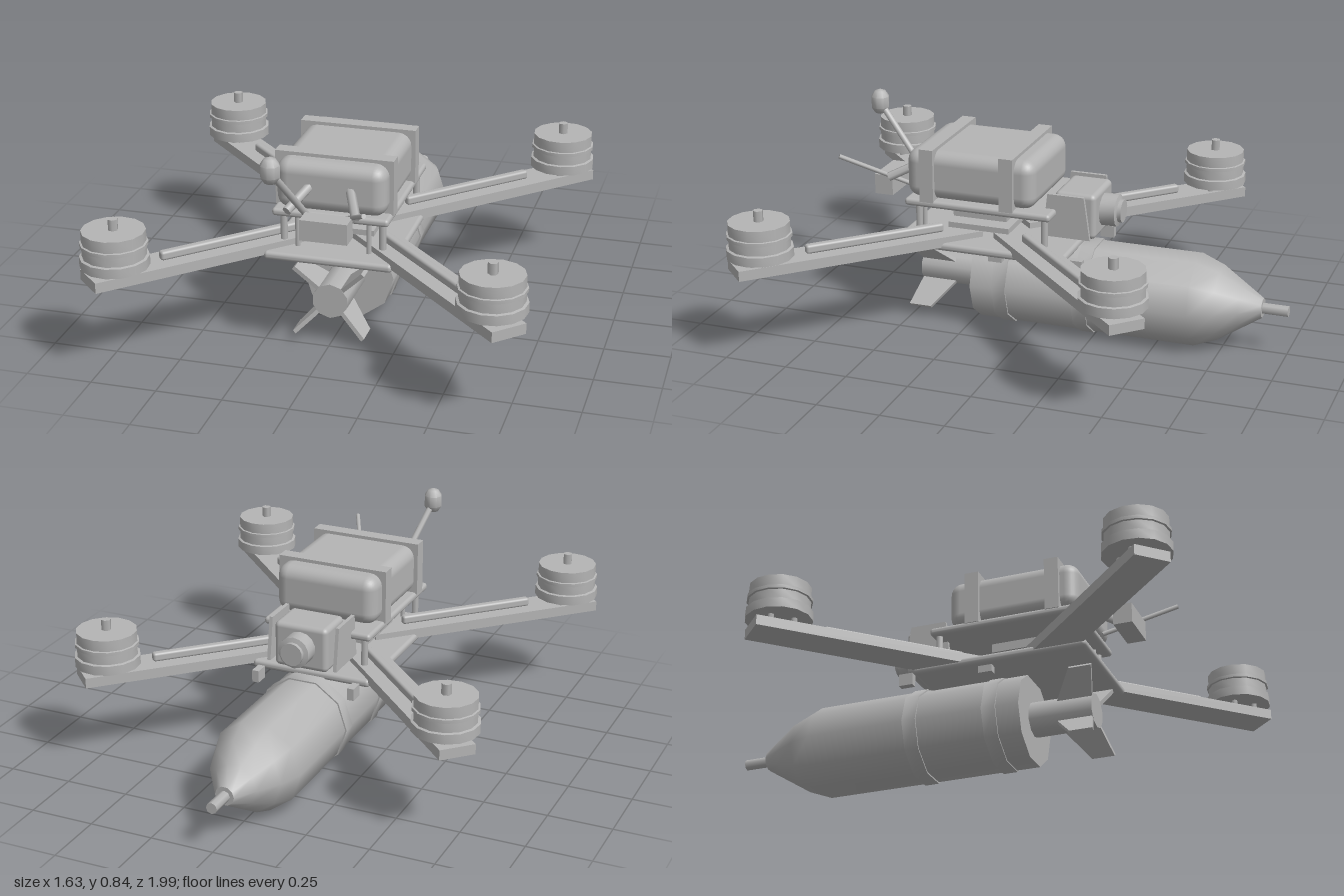
import * as THREE from 'three';
import { RoundedBoxGeometry } from 'three/addons/geometries/RoundedBoxGeometry.js';
import { toCreasedNormals } from 'three/addons/utils/BufferGeometryUtils.js';

const grey = new THREE.MeshStandardMaterial({ color: 0xb4b4b4 });
grey.name = 'plain grey';

function add(parent, name, geometry, x = 0, y = 0, z = 0) {
  const mesh = new THREE.Mesh(geometry, grey);
  mesh.name = name;
  mesh.position.set(x, y, z);
  parent.add(mesh);
  return mesh;
}

// Boxes given by their limits on each axis
function box(parent, name, [x0, x1], [y0, y1], [z0, z1], radius = 0) {
  const size = [x1 - x0, y1 - y0, z1 - z0];
  const geo = radius ? new RoundedBoxGeometry(...size, 3, radius) : new THREE.BoxGeometry(...size);
  return add(parent, name, geo, (x0 + x1) / 2, (y0 + y1) / 2, (z0 + z1) / 2);
}

// Straight rod between two points
function rod(parent, name, from, to, radius, sides = 8) {
  const a = new THREE.Vector3(...from), b = new THREE.Vector3(...to);
  const mesh = add(parent, name, new THREE.CylinderGeometry(radius, radius, a.distanceTo(b), sides));
  mesh.position.copy(a).lerp(b, 0.5);
  mesh.quaternion.setFromUnitVectors(new THREE.Vector3(0, 1, 0), b.sub(a).normalize());
  return mesh;
}

// Profile of [radius, height] points turned around y
function lathe(points, sides, crease, start = 0) {
  const geo = new THREE.LatheGeometry(points.map(p => new THREE.Vector2(...p)), sides, start);
  return toCreasedNormals(geo, crease);
}

// Flat outline pushed out along z and centred on its thickness
function plate(points, thickness) {
  const shape = new THREE.Shape(points.map(p => new THREE.Vector2(...p)));
  return new THREE.ExtrudeGeometry(shape, { depth: thickness, bevelEnabled: false })
    .translate(0, 0, -thickness / 2);
}

// Arm with its wire cover and motor, running outward along local z
function makeArm(sx, sz) {
  const arm = new THREE.Group();
  arm.name = 'armAssembly';
  arm.position.z = 0.172;
  arm.rotation.y = Math.atan2(sx, sz);
  const reach = 0.976;
  box(arm, 'arm', [-0.07, 0.07], [0.355, 0.395], [0.1, reach + 0.107]);
  box(arm, 'wireCover', [-0.016, 0.016], [0.395, 0.43], [0.24, 0.8], 0.01);
  add(arm, 'motor', lathe([
    [0, 0.418], [0.127, 0.418], [0.127, 0.455], [0.117, 0.458], [0.117, 0.495],
    [0.124, 0.497], [0.124, 0.51], [0.117, 0.512], [0.117, 0.555], [0, 0.555],
  ], 14, 0.6), 0, 0, reach);
  add(arm, 'motorShaft', new THREE.CylinderGeometry(0.019, 0.019, 0.05, 6), 0, 0.572, reach);
  for (const x of [-0.045, 0.045]) for (const z of [-0.045, 0.045]) {
    add(arm, 'motorScrew', new THREE.CylinderGeometry(0.012, 0.012, 0.04, 6), x, 0.405, reach + z);
  }
  return arm;
}

// Frame plates, standoffs and electronics
function makeFrame() {
  const g = new THREE.Group();
  g.name = 'frame';
  box(g, 'bottomPlate', [-0.245, 0.245], [0.34, 0.372], [-0.175, 0.52], 0.014);
  box(g, 'topPlate', [-0.223, 0.223], [0.502, 0.532], [-0.115, 0.48], 0.013);
  for (const s of [-1, 1]) {
    for (const z of [-0.085, 0.43]) rod(g, 'standoff', [s * 0.19, 0.365, z], [s * 0.19, 0.51, z], 0.014);
    rod(g, 'innerStandoff', [s * 0.137, 0.365, 0.43], [s * 0.137, 0.51, 0.43], 0.01);
  }
  box(g, 'lowerBoard', [-0.13, 0.13], [0.398, 0.42], [0.085, 0.335]);
  box(g, 'upperBoard', [-0.11, 0.11], [0.44, 0.475], [0.1, 0.32]);
  box(g, 'boardPlug', [0.075, 0.11], [0.465, 0.485], [0.27, 0.33]);
  box(g, 'transmitter', [-0.063, 0.116], [0.495, 0.575], [0.575, 0.65]);
  return g;
}

// Battery held by two straps
function makeBattery() {
  const g = new THREE.Group();
  g.name = 'battery';
  box(g, 'batteryPack', [-0.21, 0.21], [0.53, 0.725], [-0.045, 0.48], 0.05);
  for (const z of [0.06, 0.385]) {
    box(g, 'batteryStrap', [-0.226, 0.226], [0.525, 0.738], [z - 0.028, z + 0.028]);
  }
  return g;
}

// Camera between two side plates, looking toward -z
function makeCamera() {
  const g = new THREE.Group();
  g.name = 'camera';
  const side = plate([[0.06, 0.42], [0.25, 0.42], [0.225, 0.59], [0.08, 0.59]], 0.014).rotateY(Math.PI / 2);
  for (const s of [-1, 1]) add(g, 'cameraSidePlate', side, s * 0.138);
  box(g, 'cameraBody', [-0.11, 0.11], [0.41, 0.59], [-0.26, -0.095], 0.02);
  add(g, 'lens', lathe([
    [0, 0], [0.063, 0], [0.063, 0.065], [0.045, 0.07], [0.045, 0.085], [0, 0.085],
  ], 14, 0.6).rotateX(-Math.PI / 2), 0, 0.503, -0.255);
  return g;
}

// Two antennas and their holder tubes
function makeAntennas() {
  const g = new THREE.Group();
  g.name = 'antennas';
  for (const s of [-1, 1]) rod(g, 'antennaTube', [s * 0.07, 0.64, 0.45], [s * 0.13, 0.575, 0.585], 0.018, 6);
  rod(g, 'ballAntennaRod', [-0.07, 0.525, 0.505], [-0.14, 0.78, 0.73], 0.013);
  add(g, 'antennaBall', lathe([
    [0, -0.053], [0.022, -0.045], [0.037, -0.022], [0.037, 0.022], [0.022, 0.045], [0, 0.053],
  ], 8, 0.9), -0.14, 0.79, 0.735);
  rod(g, 'whipAntenna', [0.07, 0.53, 0.49], [0.207, 0.665, 0.757], 0.009);
  return g;
}

// Slung cylinder with a tapered nose toward -z and a finned tail
function makePayload() {
  const g = new THREE.Group();
  g.name = 'payload';
  g.position.y = 0.18;
  const start = Math.PI / 2;
  add(g, 'payloadBody', lathe([
    [0, -0.23], [0.18, -0.23], [0.18, 0.645], [0.145, 0.735], [0.09, 0.82], [0.038, 0.9], [0, 0.9],
  ], 10, 0.75, start).rotateX(-Math.PI / 2));
  rod(g, 'noseRod', [0, 0, -0.88], [0, 0, -1], 0.022, 8);
  rod(g, 'tailTube', [0, 0, 0.22], [0, 0, 0.48], 0.069, 10);
  const fin = plate([[0.05, 0.33], [0.188, 0.415], [0.188, 0.505], [0.05, 0.475]], 0.016).rotateX(Math.PI / 2);
  for (let i = 0; i < 4; i++) {
    add(g, 'tailFin', fin).rotation.z = Math.PI / 4 + i * Math.PI / 2;
  }
  // Clamps with bolt tabs
  for (const z of [-0.215, 0.11]) {
    add(g, 'clampBand', lathe([
      [0.178, -0.028], [0.186, -0.028], [0.186, 0.028], [0.178, 0.028],
    ], 10, 0.75, start).rotateX(-Math.PI / 2), 0, 0, z);
    for (const s of [-1, 1]) {
      box(g, 'clampTab', [s * 0.2 - 0.014, s * 0.2 + 0.014], [0.132, 0.18], [z - 0.028, z + 0.028]);
    }
  }
  return g;
}

export function createModel() {
  const model = new THREE.Group();
  model.name = 'quadcopter';
  for (const sx of [-1, 1]) for (const sz of [-1, 1]) model.add(makeArm(sx, sz));
  model.add(makeFrame(), makeBattery(), makeCamera(), makeAntennas(), makePayload());
  return model;
}
